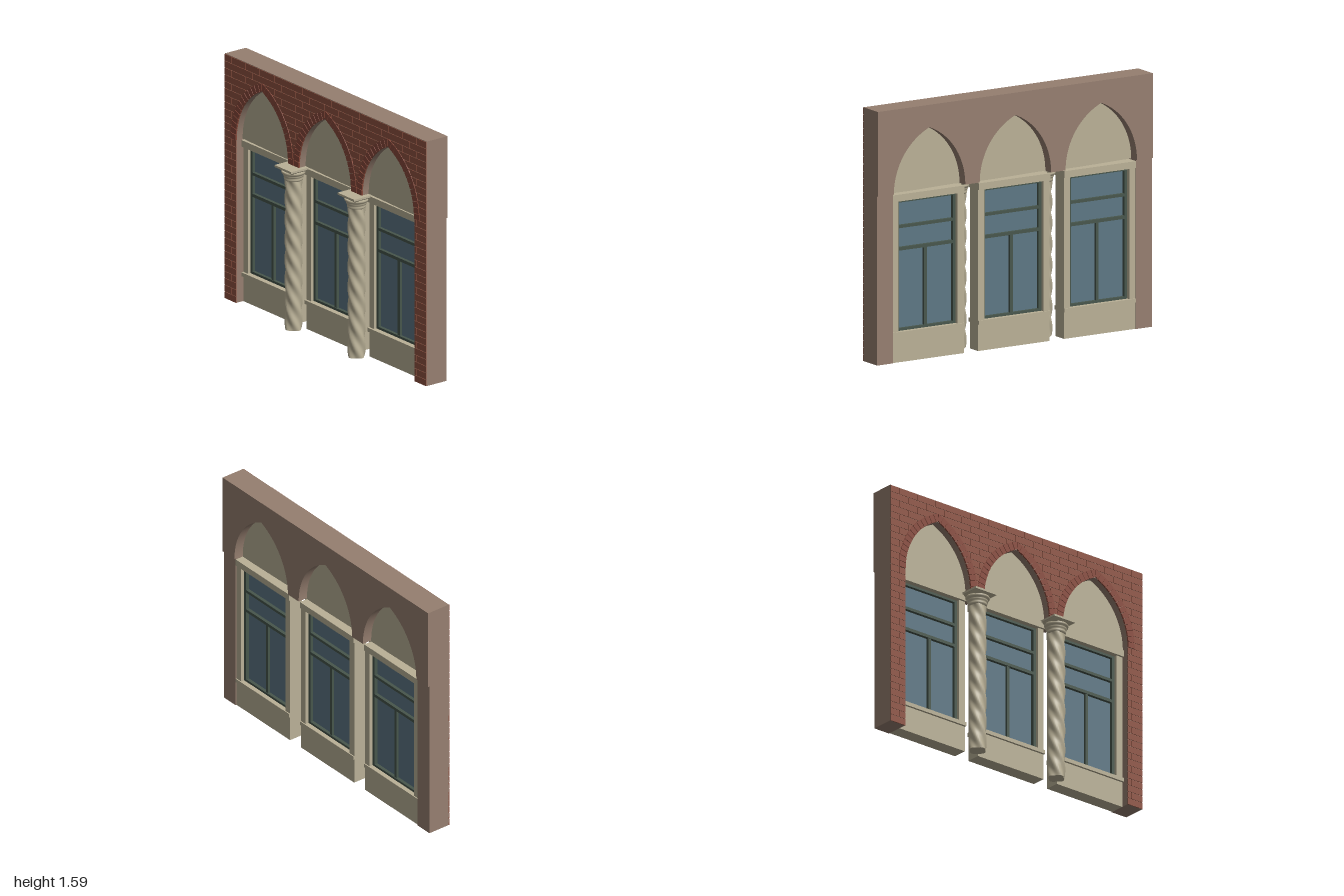
import * as THREE from 'three';
import { mergeGeometries } from 'three/addons/utils/BufferGeometryUtils.js';

const mat = (name, color) => new THREE.MeshStandardMaterial({ name, color });

// Pointed arch: two arcs of radius R whose centres lie D across the middle line
const SPRING = 1.055, HALF = 0.26, R = 0.4225, D = 0.1625, BAND = 0.05;
const THETA = Math.acos(D / R);
const BAYS = [-0.625, 0, 0.625];
const TOP = 1.585;

export function createModel() {
  const brick = mat('brick', 0x8f5241);
  const archBrick = mat('archBrick', 0x88493a);
  const wallBrown = mat('wallBrown', 0x967f70);
  const stone = mat('stone', 0xbab197);
  const glass = mat('glass', 0x5d7785);
  const frameGreen = mat('frameGreen', 0x47564c);

  const model = new THREE.Group();
  model.name = 'arcadeWall';

  const add = (parent, name, geometry, material) => {
    const mesh = new THREE.Mesh(geometry, material);
    mesh.name = name;
    parent.add(mesh);
    return mesh;
  };
  // Box given by its limits on each axis
  const box = (parent, name, material, x0, x1, y0, y1, z0, z1) => {
    const mesh = add(parent, name, new THREE.BoxGeometry(x1 - x0, y1 - y0, z1 - z0), material);
    mesh.position.set((x0 + x1) / 2, (y0 + y1) / 2, (z0 + z1) / 2);
    return mesh;
  };
  const extrude = (shape, z0, z1) => new THREE.ExtrudeGeometry(shape,
    { depth: z1 - z0, bevelEnabled: false, curveSegments: 20 }).translate(0, 0, z0);
  const archPath = (shape, cx) => {
    shape.absarc(cx + D, SPRING, R, Math.PI, Math.PI - THETA, true);
    shape.absarc(cx - D, SPRING, R, THETA, 0, true);
  };

  // Upper wall with three arched openings
  const wall = new THREE.Shape();
  wall.moveTo(-1, SPRING);
  for (const cx of BAYS) {
    wall.lineTo(cx - HALF, SPRING);
    archPath(wall, cx);
  }
  wall.lineTo(1, SPRING);
  wall.lineTo(1, TOP);
  wall.lineTo(-1, TOP);
  wall.closePath();
  add(model, 'upperWall', extrude(wall, -0.125, 0.037), wallBrown);

  // Side piers
  box(model, 'rightPier', wallBrown, -1, -0.885, 0, SPRING, -0.115, 0.037);
  box(model, 'leftPier', wallBrown, 0.885, 1, 0, SPRING, -0.115, 0.037);

  // Brick facing: running courses, cut where they meet the arches
  const bricks = [];
  const BRICK = 0.1415, JOINT = 0.0035;
  const archHalf = (y) => {
    const r = R + BAND / 2, h = y - SPRING;
    return h >= r ? 0 : Math.max(0, Math.sqrt(r * r - h * h) - D);
  };
  const pushQuad = (list, corners, z0, z1) => {
    const pts = corners.filter((p, i) => {
      const q = corners[(i + 1) % corners.length];
      return Math.hypot(p[0] - q[0], p[1] - q[1]) > 1e-4;
    });
    if (pts.length < 3) return;
    list.push(extrude(new THREE.Shape(pts.map((p) => new THREE.Vector2(...p))), z0, z1));
  };
  const course = (y0, y1, row, spans) => {
    for (const [left, right] of spans) {
      const clamp = (x, y) => Math.min(Math.max(x, left(y)), right(y));
      for (let x = -1.1415 + (row % 2) * BRICK / 2; x < 1; x += BRICK) {
        const x1 = x + BRICK - JOINT, t = y1 - JOINT;
        pushQuad(bricks, [[clamp(x, y0), y0], [clamp(x1, y0), y0],
          [clamp(x1, t), t], [clamp(x, t), t]], 0.036, 0.041);
      }
    }
  };
  const edges = [-1, ...BAYS, 1];
  const upperSpans = edges.slice(0, 4).map((e, i) => [
    (y) => (i === 0 ? -1 : e + archHalf(y)),
    (y) => (i === 3 ? 1 : edges[i + 1] - archHalf(y)),
  ]);
  const pierSpans = [[() => -1, () => -0.885], [() => 0.885, () => 1]];
  const ROWS = 36, PIER_ROWS = 24, upperH = (TOP - SPRING) / 12, pierH = SPRING / PIER_ROWS;
  for (let i = 0; i < ROWS; i++) {
    if (i < PIER_ROWS) course(i * pierH, (i + 1) * pierH, i, pierSpans);
    else {
      const y = SPRING + (i - PIER_ROWS) * upperH;
      course(y, y + upperH, i, upperSpans);
    }
  }
  add(model, 'brickFacing', mergeGeometries(bricks), brick);

  // Wedge bricks around each arch
  const wedges = [];
  const COUNT = 14, END = Math.acos(D / (R + BAND));
  for (const cx of BAYS) for (const side of [-1, 1]) for (let i = 0; i < COUNT; i++) {
    const a0 = (i / COUNT) * END, a1 = ((i + 1) / COUNT) * END - 0.008;
    const at = (a, r) => [cx + side * Math.max(0, r * Math.cos(a) - D), SPRING + r * Math.sin(a)];
    pushQuad(wedges, [at(a0, R), at(a0, R + BAND), at(a1, R + BAND), at(a1, R)], 0.035, 0.045);
  }
  add(model, 'archBricks', mergeGeometries(wedges), archBrick);

  // Window bays
  BAYS.forEach((cx) => {
    const bay = new THREE.Group();
    bay.name = 'windowBay';
    bay.position.x = cx;
    model.add(bay);

    const panel = new THREE.Shape();
    panel.moveTo(-HALF, SPRING - 0.01);
    archPath(panel, 0);
    panel.lineTo(HALF, SPRING - 0.01);
    panel.closePath();
    add(bay, 'archPanel', extrude(panel, -0.06, -0.01), stone);

    box(bay, 'basePanel', stone, -HALF, HALF, 0, 0.165, -0.108, -0.015);
    box(bay, 'sill', stone, -HALF, HALF, 0.165, 0.19, -0.115, 0);
    box(bay, 'lintel', stone, -HALF, HALF, 1.005, 1.048, -0.115, 0);
    for (const s of [-1, 1]) {
      const a = s * 0.215, b = s * HALF;
      box(bay, 'jamb', stone, Math.min(a, b), Math.max(a, b), 0.19, 1.005, -0.108, -0.015);
      const c = s * 0.195;
      box(bay, 'frameStile', frameGreen, Math.min(a, c), Math.max(a, c), 0.19, 1.005, -0.085, -0.035);
    }
    for (const [y0, y1] of [[0.19, 0.205], [0.69, 0.71], [0.83, 0.848], [0.99, 1.005]])
      box(bay, 'frameRail', frameGreen, -0.195, 0.195, y0, y1, -0.085, -0.035);
    box(bay, 'mullion', frameGreen, -0.01, 0.01, 0.205, 0.69, -0.08, -0.04);
    box(bay, 'glassPane', glass, -0.2, 0.2, 0.195, 1, -0.064, -0.056);
  });

  // Twisted columns with flared capitals
  const shaft = new THREE.CylinderGeometry(1, 1, 0.98, 40, 110);
  shaft.translate(0, 0.49, 0);
  const p = shaft.attributes.position;
  for (let i = 0; i < p.count; i++) {
    const x = p.getX(i), z = p.getZ(i);
    const r = 0.051 + 0.005 * Math.cos(4 * (Math.atan2(x, z) + 12 * p.getY(i)));
    p.setX(i, x * r);
    p.setZ(i, z * r);
  }
  shaft.computeVertexNormals();

  const capital = new THREE.LatheGeometry([
    [0.05, 0.965], [0.058, 0.97], [0.06, 0.98], [0.056, 0.987], [0.062, 0.992],
    [0.066, 1.002], [0.063, 1.006], [0.073, 1.012], [0.076, 1.022], [0.072, 1.028], [0, 1.028],
  ].map(([x, y]) => new THREE.Vector2(x, y)), 32);

  // Square flare under the abacus
  const flare = new THREE.CylinderGeometry(0.078 * Math.SQRT2, 0.058 * Math.SQRT2, 0.018, 4)
    .toNonIndexed().rotateY(Math.PI / 4).translate(0, 1.033, 0);
  flare.computeVertexNormals();

  for (const x of [-0.3125, 0.3125]) {
    const column = new THREE.Group();
    column.name = 'column';
    column.position.set(x, 0, 0.0425);
    model.add(column);
    add(column, 'twistedShaft', shaft, stone);
    add(column, 'capital', capital, stone);
    add(column, 'capitalFlare', flare, stone);
    box(column, 'abacus', stone, -0.0825, 0.0825, 1.041, 1.054, -0.0825, 0.0825);
  }
  return model;
}
